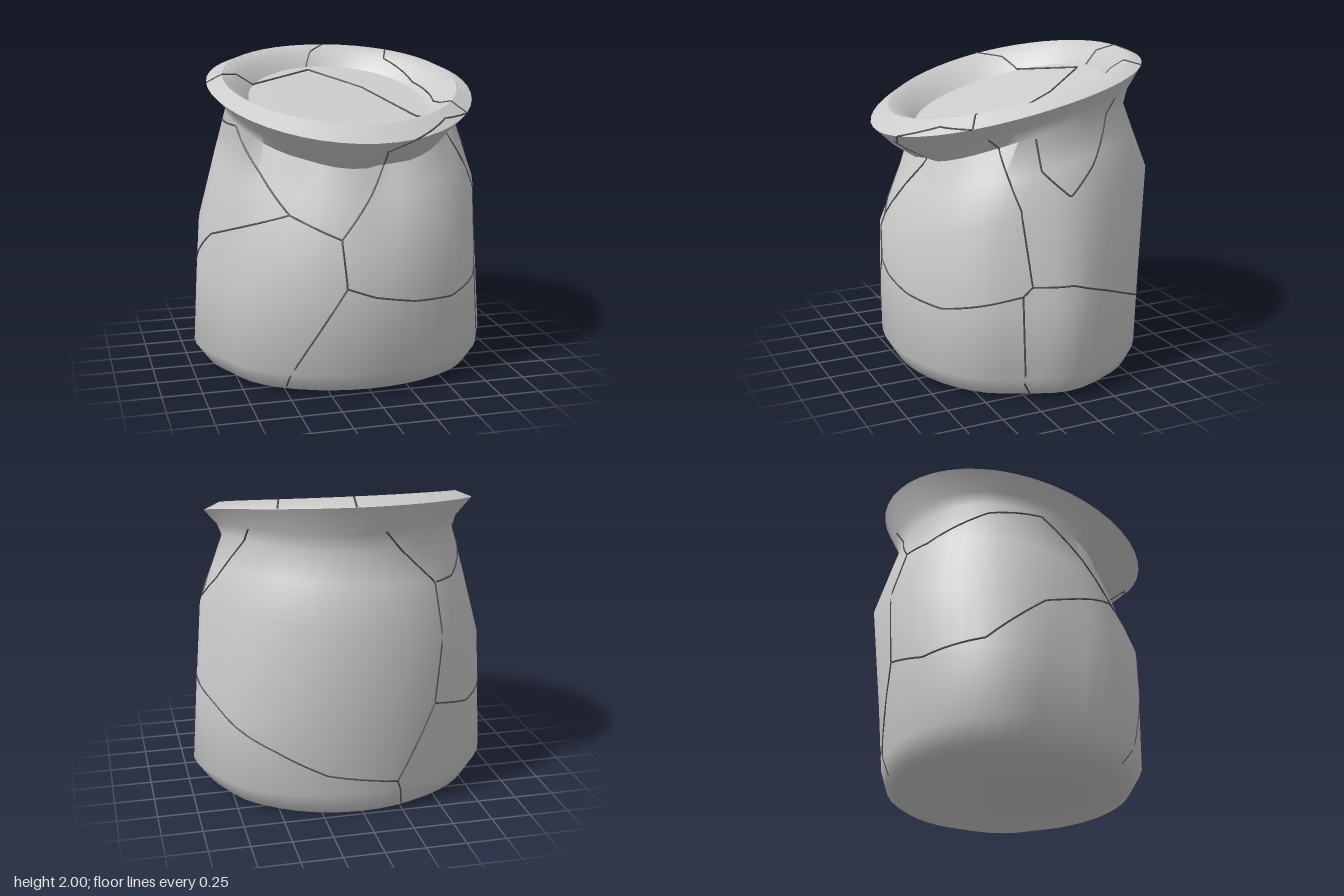
import * as THREE from 'three';
import { toCreasedNormals } from 'three/addons/utils/BufferGeometryUtils.js';

const SIDES = 48;

// Cross-sections from the base, up the outside, over the lip and onto the filling.
// y: height at centre, tz/tx: slope along z/x, bow: extra rise at the sides,
// ext: reach to [left +x, right -x, front +z, back -z], fold: depth of the gathers
const ring = (y, tz, tx, bow, ext, fold = 0, pinch = 0) => ({ y, tz, tx, bow, ext, fold, pinch });
const RINGS = [
  ring(0.01, 0, 0, 0, [0, 0, 0, 0]),
  ring(0.01, 0, 0, 0, [0.81, 0.81, 0.67, 0.71], 0, 0.04),
  ring(0.04, 0, 0, 0, [0.88, 0.88, 0.76, 0.75], 0, 0.04),
  ring(0.16, 0, 0, 0, [0.97, 0.97, 0.83, 0.785], 0, 0.05),
  ring(0.6, 0, 0, 0, [0.94, 0.945, 0.835, 0.82], 0, 0.05),
  ring(1.08, -0.17, 0.16, 0, [0.89, 0.92, 0.83, 0.88], 0, 0.03),
  ring(1.34, -0.2, 0.06, 0.1, [0.8, 0.81, 0.72, 0.79], 0.035),
  ring(1.52, -0.21, 0, 0.25, [0.73, 0.73, 0.65, 0.73], 0.07),
  ring(1.625, -0.22, 0, 0.17, [0.755, 0.755, 0.76, 0.755], 0.04),
  ring(1.775, -0.23, 0, 0.06, [0.835, 0.85, 0.88, 0.84]),
  ring(1.845, -0.226, 0, 0.03, [0.74, 0.75, 0.77, 0.73]),
  ring(1.81, -0.235, 0, 0, [0.65, 0.67, 0.68, 0.66]),
  ring(1.71, -0.26, 0, 0, [0.56, 0.585, 0.6, 0.61]),
  ring(1.715, -0.26, 0, 0, [0, 0, 0, 0]),
];

const bump = (a, centre, width) => {
  const d = Math.atan2(Math.sin(a - centre), Math.cos(a - centre)) / width;
  return Math.exp(-d * d);
};

function ringPoint(r, a) {
  const s = Math.sin(a), c = Math.cos(a);
  const gathers = bump(a, 0.17, 0.14) + 0.45 * bump(a, -0.5, 0.15) + 0.5 * bump(a, 0.95, 0.15);
  const flat = bump(a, 1.2, 0.24) + bump(a, -1.2, 0.24) + 0.7 * bump(a, 1.95, 0.24);
  const k = 1 - r.fold * gathers - r.pinch * flat;
  const x = s * k * (s > 0 ? r.ext[0] : r.ext[1]);
  const z = c * k * (c > 0 ? r.ext[2] : r.ext[3]);
  return new THREE.Vector3(x, r.y + r.tz * z + r.tx * x + r.bow * x * x, z);
}

// Point on the sack at angle a (0 = front) and ring position v
function surface(a, v) {
  const i = Math.min(Math.floor(v), RINGS.length - 2);
  return ringPoint(RINGS[i], a).lerp(ringPoint(RINGS[i + 1], a), v - i);
}

// Point on the outer wall at angle a and height y
function wall(a, y) {
  let lo = 1, hi = 9;
  for (let n = 0; n < 24; n++) {
    const mid = (lo + hi) / 2;
    if (surface(a, mid).y < y) lo = mid; else hi = mid;
  }
  return surface(a, lo);
}

// Skin between consecutive rings
function skin(first, last) {
  const pos = [];
  const at = (i, j) => ringPoint(RINGS[i], (j / SIDES) * Math.PI * 2);
  for (let i = first; i < last; i++) {
    for (let j = 0; j < SIDES; j++) {
      const a = at(i, j), b = at(i, j + 1), c = at(i + 1, j + 1), d = at(i + 1, j);
      if (i > 0) pos.push(...a, ...b, ...c);
      else pos.push(...a, ...c, ...d);
      if (i > 0 && i < RINGS.length - 2) pos.push(...a, ...c, ...d);
    }
  }
  const g = new THREE.BufferGeometry();
  g.setAttribute('position', new THREE.Float32BufferAttribute(pos, 3));
  return toCreasedNormals(g, 0.95);
}

// Seam lines on the wall as [angle, height]
const WALL_SEAMS = [
  [[-0.6, 0.06], [-0.18, 0.7], [-0.22, 0.99], [0.17, 1.4], [0.1, 1.52]],
  [[-0.22, 0.99], [-0.6, 1.12], [-0.9, 1.35], [-1.3, 1.6], [-1.78, 1.6], [-2.31, 1.45], [-2.55, 1.45]],
  [[-0.6, 1.12], [-1.35, 0.93], [-1.78, 0.66], [-2.28, 0.62], [-2.64, 0.7]],
  [[-0.18, 0.7], [0, 0.64], [0.28, 0.59], [0.6, 0.57], [1.2, 0.68], [1.27, 0.74], [1.57, 0.74],
    [1.9, 0.65], [2.2, 0.56], [2.54, 0.45], [2.9, 0.3], [3.36, 0.22]],
  [[1.2, 0.68], [1.2, 0.12], [1.25, 0.04]],
  [[1.27, 0.74], [1.2, 1.2], [1.02, 1.5], [0.98, 1.6]],
  [[1.33, 1.6], [1.36, 1.42], [1.57, 1.27], [1.8, 1.43], [2.15, 1.78]],
  [[3.3, 1.8], [3.73, 1.45], [3.64, 0.7], [3.36, 0.22], [3.42, 0.05]],
];
// Seam lines over the lip as [angle, ring position]
const LIP_SEAMS = [
  [[3.05, 9], [3.05, 10], [3.2, 11], [3.28, 12]],
  [[-1.68, 9], [-1.72, 10], [-1.95, 11], [-2.1, 12]],
  [[2.5, 9], [2.45, 10], [2.4, 11], [1.9, 11.7], [1.3, 11.6], [1.0, 11], [0.9, 10], [0.92, 9]],
  [[0.12, 8.4], [0.3, 9], [0.65, 9.5], [0.92, 9]],
];
// Seam lines across the filling as [x, z]
const FILL_SEAMS = [
  [[-0.52, -0.3], [-0.08, -0.54], [0.2, -0.2], [0.42, 0.31], [0.48, 0.31]],
];

function seam(points, place, material) {
  const path = new THREE.CurvePath();
  const dense = [];
  for (let i = 0; i < points.length - 1; i++) {
    for (let n = 0; n < 8; n++) {
      const t = n / 8, [p, q] = [points[i], points[i + 1]];
      dense.push(place(p[0] + (q[0] - p[0]) * t, p[1] + (q[1] - p[1]) * t));
    }
  }
  dense.push(place(...points[points.length - 1]));
  for (let i = 0; i < dense.length - 1; i++) path.add(new THREE.LineCurve3(dense[i], dense[i + 1]));
  return new THREE.Mesh(new THREE.TubeGeometry(path, dense.length * 2, 0.006, 5), material);
}

export function createModel() {
  const model = new THREE.Group();
  model.name = 'openSack';
  const cloth = new THREE.MeshStandardMaterial({ color: 0xcccccc, side: THREE.DoubleSide });
  const dark = new THREE.MeshStandardMaterial({ color: 0x505050 });

  // Cloth bag with its flared lip, and the filling inside the mouth
  const last = RINGS.length - 1;
  const bag = new THREE.Mesh(skin(0, last - 1), cloth);
  bag.name = 'bag';
  const filling = new THREE.Mesh(skin(last - 1, last), cloth);
  filling.name = 'filling';
  model.add(bag, filling);

  // Seams
  const onFill = (x, z) => new THREE.Vector3(x, 1.715 - 0.26 * z, z);
  const sets = { wallSeams: [WALL_SEAMS, wall], lipSeams: [LIP_SEAMS, surface], fillingSeams: [FILL_SEAMS, onFill] };
  for (const [name, [lines, place]] of Object.entries(sets)) {
    const group = new THREE.Group();
    group.name = name;
    lines.forEach((line) => {
      const mesh = seam(line, place, dark);
      mesh.name = 'seam';
      group.add(mesh);
    });
    model.add(group);
  }
  return model;
}
